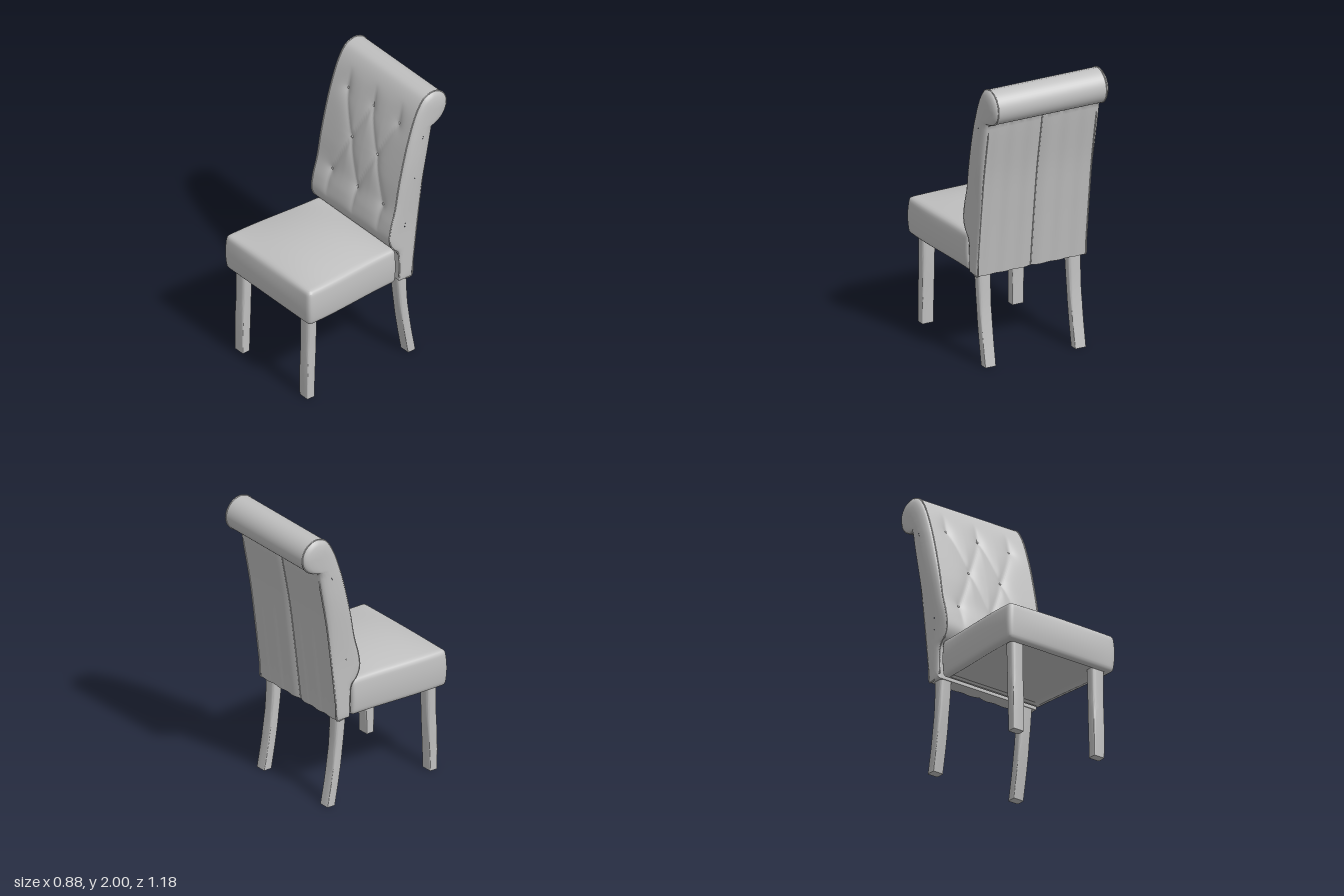
import * as THREE from 'three';
import { mergeVertices, toCreasedNormals } from 'three/addons/utils/BufferGeometryUtils.js';

const upholstery = new THREE.MeshStandardMaterial({ color: 0xc0c0c0 });
upholstery.name = 'light grey';

const lerp = THREE.MathUtils.lerp;
const V2 = (z, y) => new THREE.Vector2(z, y);

function part(name, geometry, parent) {
  const mesh = new THREE.Mesh(geometry, upholstery);
  mesh.name = name;
  parent.add(mesh);
  return mesh;
}

// Skin a list of closed rings that have equal point counts
function loft(rings, crease) {
  const n = rings[0].length, pos = [], idx = [];
  rings.forEach(r => r.forEach(p => pos.push(p.x, p.y, p.z)));
  for (let i = 0; i < rings.length - 1; i++) {
    for (let j = 0; j < n; j++) {
      const k = (j + 1) % n, a = i * n + j, b = i * n + k, c = b + n, d = a + n;
      idx.push(a, b, c, a, c, d);
    }
  }
  const g = new THREE.BufferGeometry();
  g.setAttribute('position', new THREE.Float32BufferAttribute(pos, 3));
  g.setIndex(idx);
  return toCreasedNormals(g, crease);
}

// Tufting: buttons and the pleats that join them
const buttons = [];
for (const y of [1.165, 1.745]) for (const x of [-0.26, 0, 0.26]) buttons.push([x, y]);
for (const x of [-0.13, 0.13]) buttons.push([x, 1.46]);

const pleats = [];
for (const s of [-0.13, 0.13]) {
  for (const y of [1.165, 1.745]) for (const dx of [-0.13, 0.13]) pleats.push([s, 1.46, s + dx, y]);
}
for (const x of [-0.26, 0, 0.26]) pleats.push([x, 1.745, x, 1.87], [x, 1.165, x, 1.0]);

function segmentDistance(x, y, [ax, ay, bx, by]) {
  const dx = bx - ax, dy = by - ay;
  const t = THREE.MathUtils.clamp(((x - ax) * dx + (y - ay) * dy) / (dx * dx + dy * dy), 0, 1);
  return Math.hypot(x - ax - t * dx, y - ay - t * dy);
}

function tuftDepth(x, y) {
  const fade = THREE.MathUtils.smoothstep(y, 0.93, 1.1) * (1 - THREE.MathUtils.smoothstep(y, 1.78, 1.92));
  const b = Math.min(...buttons.map(p => Math.hypot(x - p[0], y - p[1])));
  const s = Math.min(...pleats.map(p => segmentDistance(x, y, p)));
  return 0.016 * Math.exp(-b / 0.035) + fade * 0.014 * Math.exp(-s / 0.035);
}

// Side profile of the backrest (z, y): up the rear, round the roll, down the front
const rear = new THREE.SplineCurve([V2(-0.3, 0.625), V2(-0.32, 0.8), V2(-0.35, 1.05),
  V2(-0.39, 1.35), V2(-0.445, 1.65), V2(-0.462, 1.75)]);
const front = new THREE.SplineCurve([V2(-0.47, 2), V2(-0.4, 1.972), V2(-0.335, 1.87), V2(-0.275, 1.7),
  V2(-0.235, 1.55), V2(-0.195, 1.37), V2(-0.165, 1.2), V2(-0.13, 1.07), V2(-0.118, 0.97),
  V2(-0.145, 0.9), V2(-0.19, 0.85), V2(-0.2, 0.74), V2(-0.2, 0.625)]);
const middle = [[0.7, -0.25], [0.9, -0.245], [1.05, -0.235], [1.4, -0.305], [1.7, -0.37], [1.88, -0.46]];

function middleAt(y) {
  const c = THREE.MathUtils.clamp(y, 0.7, 1.88);
  let i = 0;
  while (i < middle.length - 2 && c > middle[i + 1][0]) i++;
  const [y0, z0] = middle[i], [y1, z1] = middle[i + 1];
  return V2(lerp(z0, z1, (c - y0) / (y1 - y0)), c);
}

function backProfile() {
  const pts = rear.getSpacedPoints(30).map(p => ({ p, side: 'rear' }));
  for (let i = 0; i < 24; i++) {
    const a = -Math.PI / 2 + Math.PI * i / 24;
    pts.push({ p: V2(-0.47 - 0.12 * Math.cos(a), 1.88 + 0.12 * Math.sin(a)), side: 'roll' });
  }
  front.getSpacedPoints(100).forEach(p => pts.push({ p, side: 'front' }));
  return pts;
}

function backrest(group) {
  const profile = backProfile(), half = 0.4, rings = [];
  const bulge = y => 0.012 + 0.022 * THREE.MathUtils.smoothstep(y, 0.95, 1.6);

  // Domed side panel, closing onto the middle line
  const domed = (sign, inset, rise) => profile.map(({ p }) => {
    const q = p.clone().lerp(middleAt(p.y), inset);
    return new THREE.Vector3(sign * (half + rise * bulge(p.y)), q.y, q.x);
  });
  const dome = [[1, 1], [0.6, 0.97], [0.3, 0.8], [0.12, 0.55], [0.03, 0.25]];
  dome.forEach(([i, r]) => rings.push(domed(-1, i, r)));
  for (let k = 0; k <= 64; k++) {
    const x = lerp(-half, half, k / 64);
    const edge = 1 - Math.pow(Math.abs(x) / half, 8);
    rings.push(profile.map(({ p, side }) => {
      let z = p.x;
      if (side === 'front') z -= edge * tuftDepth(x, p.y);
      if (side === 'rear') z += edge * (0.01 * Math.exp(-Math.abs(x) / 0.02) + 0.004 * Math.cos(x * 47));
      return new THREE.Vector3(x, p.y, z);
    }));
  }
  dome.reverse().forEach(([i, r]) => rings.push(domed(1, i, r)));
  part('backrest', loft(rings, 0.7), group);

  // Piping round both side panels and the rear centre seam
  for (const s of [-1, 1]) {
    const path = profile.filter((_, i) => i % 3 === 0).map(({ p }) => new THREE.Vector3(s * half, p.y, p.x));
    part('sidePiping', new THREE.TubeGeometry(new THREE.CatmullRomCurve3(path, true), 160, 0.005, 6, true), group);
  }
  const seam = rear.getSpacedPoints(16).map(p => new THREE.Vector3(0, p.y, p.x + 0.012));
  part('rearSeam', new THREE.TubeGeometry(new THREE.CatmullRomCurve3(seam), 40, 0.004, 6), group);

  // Buttons sit in the dimples of the front face
  const face = front.getSpacedPoints(300);
  for (const [x, y] of buttons) {
    const p = face.reduce((a, b) => Math.abs(b.y - y) < Math.abs(a.y - y) ? b : a);
    part('button', new THREE.SphereGeometry(0.009, 12, 8), group)
      .position.set(x, y, p.x - tuftDepth(x, y) + 0.003);
  }
}

// Seat cushion: a rounded block, wider at the front, with a crowned top
function seat(group) {
  const H = new THREE.Vector3(0.4, 0.13, 0.375), r = 0.025;
  let g = new THREE.BoxGeometry(H.x * 2, H.y * 2, H.z * 2, 44, 16, 44);
  g.deleteAttribute('normal');
  g.deleteAttribute('uv');
  g = mergeVertices(g);
  const pos = g.attributes.position, v = new THREE.Vector3(), core = new THREE.Vector3();
  const inner = H.clone().subScalar(r), outer = inner.clone().negate();
  for (let i = 0; i < pos.count; i++) {
    v.fromBufferAttribute(pos, i);
    core.copy(v).clamp(outer, inner);
    v.sub(core).setLength(r).add(core);
    const u = v.x / H.x, h = v.y / H.y, w = v.z / H.z;
    const dome = (1 - u * u) * (1 - Math.pow(Math.abs(w), 2.6));
    const round = 1 - h * h;
    let y = 0.75 + v.y;
    if (h > 0) y += 0.052 * h * dome;
    else if (Math.abs(u) < 0.9 && Math.abs(w) < 0.9 && h < -0.95) y += 0.012;
    const x = u * (0.395 + 0.035 * THREE.MathUtils.smoothstep(w, -1, 0.8) + 0.012 * round);
    const z = 0.199 + v.z + (w > 0 ? w * 0.016 * round * (1 - 0.5 * u * u) : 0);
    pos.setXYZ(i, x, y, z);
  }
  part('seat', toCreasedNormals(g, 0.6), group);
}

// Leg from stations [y, z centre, width, depth]: rounded above, square at the foot
function leg(name, x, stations, group) {
  const curve = k => new THREE.CatmullRomCurve3(stations.map(s => new THREE.Vector3(s[k], s[0], 0)));
  const [cz, cw, cd] = [1, 2, 3].map(curve);
  const ring = (t, scale) => {
    const c = cz.getPoint(t), w = cw.getPoint(t).x / 2, d = cd.getPoint(t).x / 2;
    const e = 2 / lerp(14, 4, Math.min(1, t * 1.6));
    return Array.from({ length: 32 }, (_, j) => {
      const a = j / 32 * Math.PI * 2, ca = Math.cos(a), sa = Math.sin(a);
      return new THREE.Vector3(
        x + scale * w * Math.sign(ca) * Math.pow(Math.abs(ca), e), c.y,
        c.x - scale * d * Math.sign(sa) * Math.pow(Math.abs(sa), e));
    });
  };
  const rings = [ring(0, 0)];
  for (let i = 0; i <= 16; i++) rings.push(ring(i / 16, 1));
  rings.push(ring(1, 0));
  part(name, loft(rings, 0.6), group);
}

export function createModel() {
  const chair = new THREE.Group();
  chair.name = 'diningChair';
  seat(chair);
  const back = new THREE.Group();
  back.name = 'back';
  chair.add(back);
  backrest(back);
  for (const s of [-1, 1]) {
    leg('frontLeg', s * 0.333, [[0, 0.515, 0.083, 0.06], [0.2, 0.512, 0.088, 0.068],
      [0.42, 0.504, 0.094, 0.076], [0.65, 0.5, 0.1, 0.08]], chair);
    leg('rearLeg', s * 0.333, [[0, -0.328, 0.08, 0.062], [0.2, -0.292, 0.084, 0.062],
      [0.42, -0.262, 0.09, 0.07], [0.65, -0.244, 0.096, 0.08]], chair);
  }
  return chair;
}
